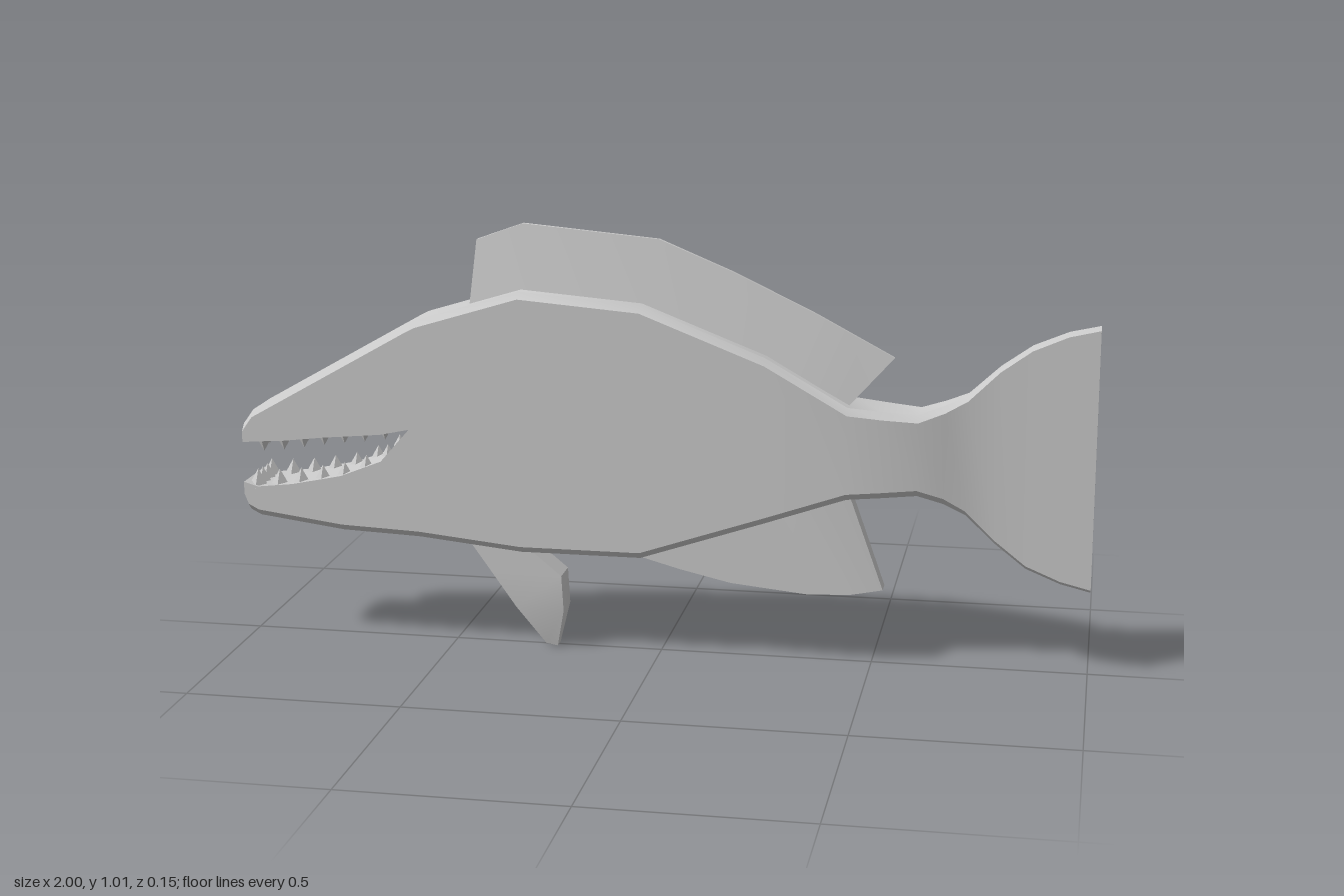
import * as THREE from 'three';
import { toCreasedNormals } from 'three/addons/utils/BufferGeometryUtils.js';

const material = new THREE.MeshStandardMaterial({ color: 0xcccccc });

// Joins equal-sized rings of [x, y, z] points into a closed, capped skin.
function loft(rings) {
  const n = rings[0].length;
  const last = (rings.length - 1) * n;
  const index = [];
  for (let i = 0; i < rings.length - 1; i++) {
    for (let j = 0; j < n; j++) {
      const a = i * n + j, b = i * n + (j + 1) % n;
      index.push(a, b, b + n, a, b + n, a + n);
    }
  }
  for (let j = 1; j < n - 1; j++) {
    index.push(0, j + 1, j);
    index.push(last, last + j, last + j + 1);
  }
  const geometry = new THREE.BufferGeometry();
  geometry.setAttribute('position', new THREE.Float32BufferAttribute(rings.flat(2), 3));
  geometry.setIndex(index);
  return toCreasedNormals(geometry, 0.5);
}

// Upright slab section with chamfered top (ct) and bottom (cb) corners.
function slab(x, top, bottom, w, ct, cb) {
  return [
    [x, top, ct - w], [x, top, w - ct], [x, top - ct, w], [x, bottom + cb, w],
    [x, bottom, w - cb], [x, bottom, cb - w], [x, bottom + cb, -w], [x, top - ct, -w],
  ];
}

// Four-cornered fin section from an upper to a lower point, each with a half width.
function blade([px, py, qx, qy, wp, wq]) {
  return [[px, py, -wp], [px, py, wp], [qx, qy, wq], [qx, qy, -wq]];
}

function addMesh(parent, name, geometry) {
  const mesh = new THREE.Mesh(geometry, material);
  mesh.name = name;
  parent.add(mesh);
  return mesh;
}

// Height on a polyline of [x, y] points.
function heightAt(line, x) {
  const i = Math.max(1, line.findIndex((p) => p[0] >= x));
  const [x0, y0] = line[i - 1], [x1, y1] = line[i];
  return THREE.MathUtils.lerp(y0, y1, (x - x0) / (x1 - x0));
}

export function createModel() {
  const fish = new THREE.Group();
  fish.name = 'fish';
  const W = 0.075, C = 0.016;

  // Body and tail: x, top, bottom, half width
  const body = [
    [-0.59, 0.78, 0.268, W], [-0.57, 0.79, 0.267, W], [-0.325, 0.865, 0.242, W],
    [-0.04, 0.842, 0.242, W], [0.25, 0.73, 0.34, W], [0.44, 0.622, 0.406, W],
    [0.52, 0.614, 0.412, 0.068], [0.6, 0.608, 0.418, 0.057], [0.66, 0.63, 0.398, 0.042],
    [0.71, 0.652, 0.372, 0.028], [0.78, 0.718, 0.305, 0.022], [0.85, 0.768, 0.25, 0.02],
    [0.93, 0.802, 0.217, 0.018], [1, 0.818, 0.2, 0.017],
  ];
  addMesh(fish, 'bodyAndTail', loft(body.map(([x, t, b, w]) => {
    const c = Math.min(C, w * 0.4);
    return slab(x, t, b, w, c, c);
  })));

  // Jaws meeting at the corner of the mouth
  const upperLip = [[-1, 0.482], [-0.975, 0.485], [-0.9, 0.49], [-0.8, 0.502], [-0.66, 0.515], [-0.59, 0.53]];
  const lowerLip = [[-1, 0.385], [-0.965, 0.375], [-0.88, 0.385], [-0.76, 0.41], [-0.66, 0.45], [-0.59, 0.53]];
  const snout = [[-1, 0.525], [-0.975, 0.56], [-0.59, 0.78]];
  const chin = [[-1, 0.34], [-0.99, 0.315], [-0.965, 0.302], [-0.76, 0.275], [-0.59, 0.268]];
  addMesh(fish, 'upperJaw', loft(upperLip.map(([x, y]) => slab(x, heightAt(snout, x), y, W, C, 0))));
  const lowerX = [-1, -0.99, -0.965, -0.88, -0.76, -0.66, -0.59];
  addMesh(fish, 'lowerJaw', loft(lowerX.map((x) => slab(x, heightAt(lowerLip, x), heightAt(chin, x), W, 0, C))));

  // Teeth along both sides and across the front of each jaw
  const teeth = new THREE.Group();
  teeth.name = 'teeth';
  fish.add(teeth);
  function addTooth(name, lip, x, z, up, size) {
    const cone = new THREE.ConeGeometry(0.026 * size, 0.045 * size, 4).toNonIndexed();
    cone.computeVertexNormals();
    const tooth = addMesh(teeth, name, cone);
    tooth.position.set(x, heightAt(lip, x) + up * 0.014 * size, z);
    if (up < 0) tooth.rotation.x = Math.PI;
  }
  for (let i = 0; i < 7; i++) {
    const size = 1 - i * 0.06;
    for (const z of [-0.05, 0.05]) {
      addTooth('lowerTooth', lowerLip, -0.972 + i * 0.054, z, 1, size);
      addTooth('upperTooth', upperLip, -0.955 + i * 0.05, z, -1, size * 0.8);
    }
  }
  for (const z of [-0.017, 0.017]) {
    addTooth('lowerFrontTooth', lowerLip, -0.972, z, 1, 0.9);
    addTooth('upperFrontTooth', upperLip, -0.965, z, -1, 0.75);
  }

  // Dorsal fin: sharp-edged wedge leaning back
  addMesh(fish, 'dorsalFin', loft([
    [-0.435, 0.975, -0.45, 0.8, 0.008, 0.037],
    [-0.325, 1.015, -0.325, 0.84, 0.005, 0.037],
    [-0.005, 0.987, -0.04, 0.82, 0.005, 0.037],
    [0.17, 0.915, 0.14, 0.75, 0.005, 0.037],
    [0.36, 0.825, 0.29, 0.69, 0.005, 0.037],
    [0.46, 0.772, 0.38, 0.64, 0.005, 0.037],
    [0.54, 0.73, 0.43, 0.61, 0.004, 0.034],
  ].map(blade)));

  // Anal fin under the rear of the body
  addMesh(fish, 'analFin', loft([
    [-0.06, 0.26, -0.05, 0.24, 0.037, 0.037],
    [0.05, 0.3, 0.05, 0.213, 0.037, 0.037],
    [0.18, 0.34, 0.17, 0.186, 0.037, 0.037],
    [0.3, 0.38, 0.35, 0.168, 0.035, 0.037],
    [0.37, 0.4, 0.45, 0.172, 0.032, 0.037],
    [0.44, 0.42, 0.525, 0.183, 0.025, 0.022],
  ].map(blade)));
  // Curved filler of the anal fin's trailing edge
  addMesh(fish, 'analFinRearEdge', loft([
    [0.42, 0.42, 0.44, 0.42, 0.025, 0.024],
    [0.43, 0.36, 0.446, 0.35, 0.025, 0.024],
    [0.44, 0.3, 0.462, 0.285, 0.025, 0.024],
  ].map(([fx, fy, rx, ry, wf, wr]) => blade([rx, ry, fx, fy, wr, wf]))));

  // Belly fin: single paddle narrowing to the lowest point
  addMesh(fish, 'bellyFin', loft([
    [-0.32, 0.25, -0.46, 0.26, 0.037, 0.037],
    [-0.235, 0.18, -0.405, 0.183, 0.037, 0.037],
    [-0.23, 0.095, -0.345, 0.098, 0.037, 0.037],
    [-0.25, 0, -0.278, 0.005, 0.015, 0.015],
  ].map(blade)));

  return fish;
}
